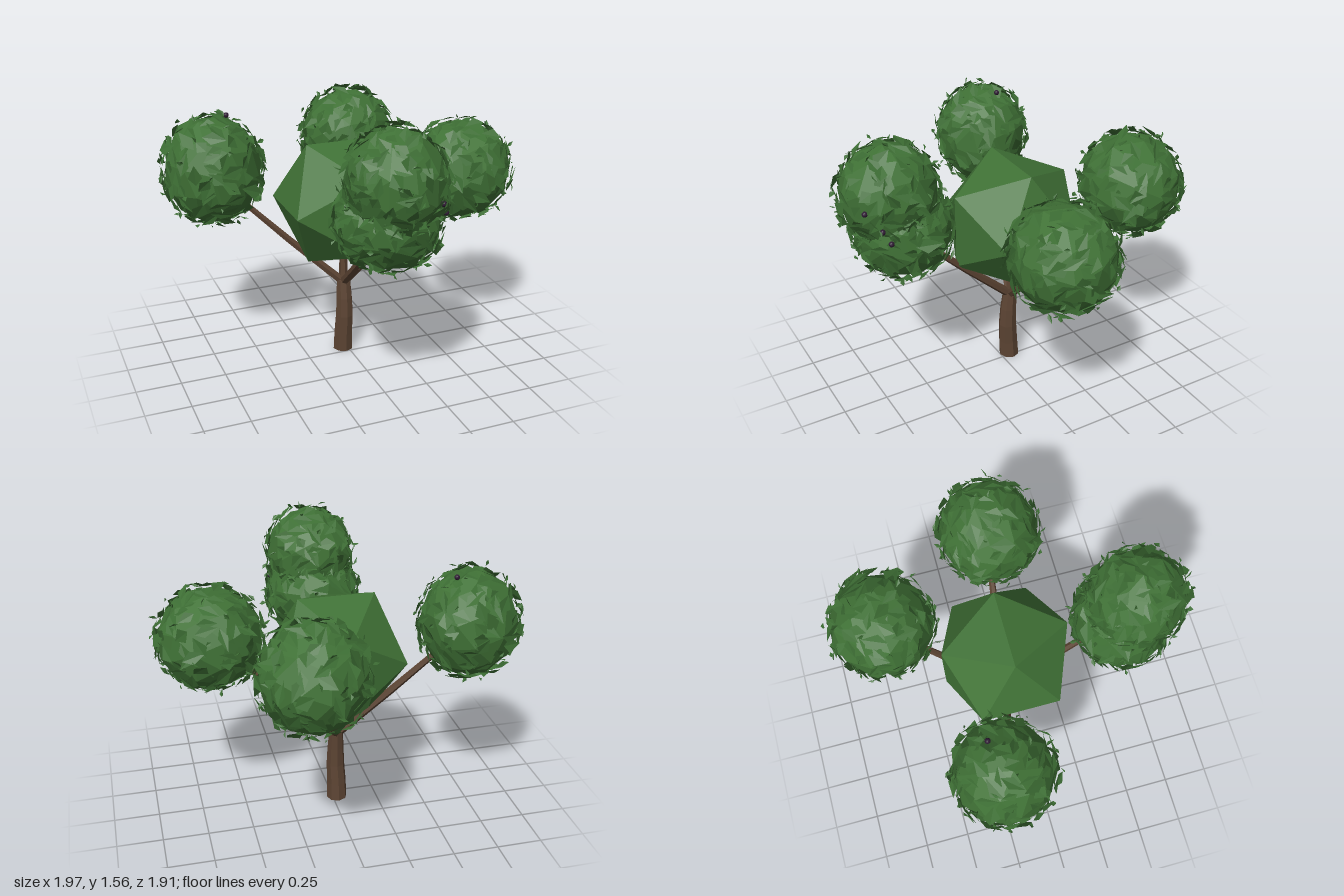
import * as THREE from 'three';

const mat = (name, color, extra = {}) => {
  const m = new THREE.MeshStandardMaterial({ color, flatShading: true, ...extra });
  m.name = name;
  return m;
};

// Small seeded random generator
function seeded(seed) {
  let s = seed;
  return () => {
    s = (s * 16807) % 2147483647;
    return s / 2147483647;
  };
}

// Tapered, faceted limb whose rings follow [x, y, z, radius] stations
function limb(stations, sides) {
  const pos = [], idx = [];
  const pts = stations.map(s => new THREE.Vector3(s[0], s[1], s[2]));
  const axis = pts[pts.length - 1].clone().sub(pts[0]).normalize();
  const q = new THREE.Quaternion().setFromUnitVectors(new THREE.Vector3(0, 1, 0), axis);
  stations.forEach((s, i) => {
    for (let k = 0; k < sides; k++) {
      const a = (k / sides) * Math.PI * 2;
      const p = new THREE.Vector3(Math.sin(a) * s[3], 0, Math.cos(a) * s[3]).applyQuaternion(q).add(pts[i]);
      pos.push(p.x, p.y, p.z);
    }
    if (i === 0) return;
    for (let k = 0; k < sides; k++) {
      const a = (i - 1) * sides + k, b = (i - 1) * sides + (k + 1) % sides;
      idx.push(a, b, b + sides, a, b + sides, a + sides);
    }
  });
  const last = (stations.length - 1) * sides;
  for (let k = 1; k < sides - 1; k++) {
    idx.push(0, k + 1, k, last, last + k, last + k + 1);
  }
  const g = new THREE.BufferGeometry();
  g.setAttribute('position', new THREE.Float32BufferAttribute(pos, 3));
  g.setIndex(idx);
  const flat = g.toNonIndexed();
  flat.computeVertexNormals();
  return flat;
}

// Kite-shaped leaves scattered over an ellipsoid
function leafShell(radii, count, rnd, { length, width, tilt, lift }) {
  const pos = [];
  const up = new THREE.Vector3(0, 0, 1);
  for (let i = 0; i < count; i++) {
    const y = 1 - (2 * (i + 0.5)) / count;
    const a = i * 2.39996 + rnd() * 0.5;
    const r = Math.sqrt(1 - y * y);
    const n = new THREE.Vector3(r * Math.cos(a), y, r * Math.sin(a));
    const center = n.clone().multiply(radii).multiplyScalar(lift + (rnd() - 0.5) * 0.06);
    const q = new THREE.Quaternion().setFromUnitVectors(up, n);
    q.multiply(new THREE.Quaternion().setFromEuler(new THREE.Euler(
      (rnd() - 0.5) * tilt, (rnd() - 0.5) * tilt, rnd() * Math.PI * 2, 'ZXY')));
    const l = length * (0.7 + rnd() * 0.6), w = width * (0.7 + rnd() * 0.6);
    const [tip, left, base, right] = [[0, l / 2, 0], [-w / 2, -l * 0.1, 0.006], [0, -l / 2, 0], [w / 2, -l * 0.1, 0.006]]
      .map(c => new THREE.Vector3(...c).applyQuaternion(q).add(center));
    for (const p of [tip, left, base, tip, base, right]) pos.push(p.x, p.y, p.z);
  }
  const g = new THREE.BufferGeometry();
  g.setAttribute('position', new THREE.Float32BufferAttribute(pos, 3));
  g.computeVertexNormals();
  return g;
}

export function createModel() {
  const tree = new THREE.Group();
  tree.name = 'tree';
  const bark = mat('bark brown', 0x5c4433);
  const foliage = mat('foliage green', 0x407236);
  const leaf = mat('leaf green', 0x3d6e34, { side: THREE.DoubleSide });
  const berry = mat('berry purple', 0x2e1a33);

  const add = (parent, name, geometry, material, position = [0, 0, 0]) => {
    const m = new THREE.Mesh(geometry, material);
    m.name = name;
    m.position.set(...position);
    parent.add(m);
    return m;
  };

  // Slightly crooked trunk
  add(tree, 'trunk', limb([
    [-0.025, 0, -0.055, 0.058], [-0.025, 0.1, -0.05, 0.055], [-0.02, 0.22, -0.043, 0.052],
    [-0.02, 0.33, -0.047, 0.047], [-0.02, 0.44, -0.058, 0.04],
  ], 8), bark);

  // Branches fan out from the fork to each leaf ball
  const fork = [-0.02, 0.42, -0.058];
  const branchEnds = {
    leftward: [0.56, 0.97, 0.0], rightward: [-0.6, 0.98, -0.2],
    forward: [-0.02, 0.94, 0.5], backward: [0.18, 0.96, -0.56], central: [-0.02, 0.75, -0.06],
  };
  for (const [name, end] of Object.entries(branchEnds)) {
    const mid = fork.map((v, i) => v * 0.5 + end[i] * 0.5);
    mid[1] -= 0.008;
    add(tree, name + 'Branch', limb([[...fork, 0.026], [...mid, 0.021], [...end, 0.016]], 6), bark);
  }

  // Plain central crown
  add(tree, 'centralCrown', new THREE.IcosahedronGeometry(0.4, 0), foliage, [-0.02, 0.92, -0.06]);

  // Leaf balls: faceted core, broad overlapping leaves and a few loose ones
  const balls = [
    { name: 'leftBall', at: [0.65, 1.05, 0.03], r: [0.295, 0.285, 0.285], turn: [0.3, 0.2, 0.2] },
    { name: 'rightBall', at: [-0.7, 1.12, -0.25], r: [0.275, 0.305, 0.27], turn: [0, 0.4, 0.3] },
    { name: 'backBall', at: [0.24, 1.1, -0.66], r: [0.285, 0.29, 0.285], turn: [0.5, 0.1, 0] },
    { name: 'frontLowerBall', at: [-0.03, 1.04, 0.58], r: [0.28, 0.265, 0.27], turn: [0.1, 0.7, 0.2] },
    { name: 'frontUpperBall', at: [-0.03, 1.26, 0.645], r: [0.26, 0.275, 0.27], turn: [0, 0, 0] },
  ];
  balls.forEach(({ name, at, r, turn }, i) => {
    const rnd = seeded(1234 + i * 777);
    const ball = new THREE.Group();
    ball.name = name;
    ball.position.set(...at);
    tree.add(ball);
    const radii = new THREE.Vector3(...r);
    const core = new THREE.IcosahedronGeometry(0.965, 1);
    core.applyMatrix4(new THREE.Matrix4().makeRotationFromEuler(new THREE.Euler(...turn)));
    core.scale(...r);
    core.computeVertexNormals();
    add(ball, 'core', core, foliage);
    add(ball, 'broadLeaves', leafShell(radii, 150, rnd, { length: 0.11, width: 0.07, tilt: 0.8, lift: 0.98 }), leaf);
    add(ball, 'looseLeaves', leafShell(radii, 45, rnd, { length: 0.045, width: 0.022, tilt: 2.6, lift: 1.06 }), leaf);
  });

  // A few dark berries
  [
    [0.13, 1.26, 0.84], [0.17, 1.16, 0.77], [0.2, 1.1, 0.74], [0.58, 0.89, -0.14],
    [0.38, 0.95, -0.66], [0.36, 1.22, -0.8], [-0.26, 1.0, 0.62], [-0.6, 1.4, -0.3],
  ].forEach(p => add(tree, 'berry', new THREE.IcosahedronGeometry(0.015, 1), berry, p));

  return tree;
}
